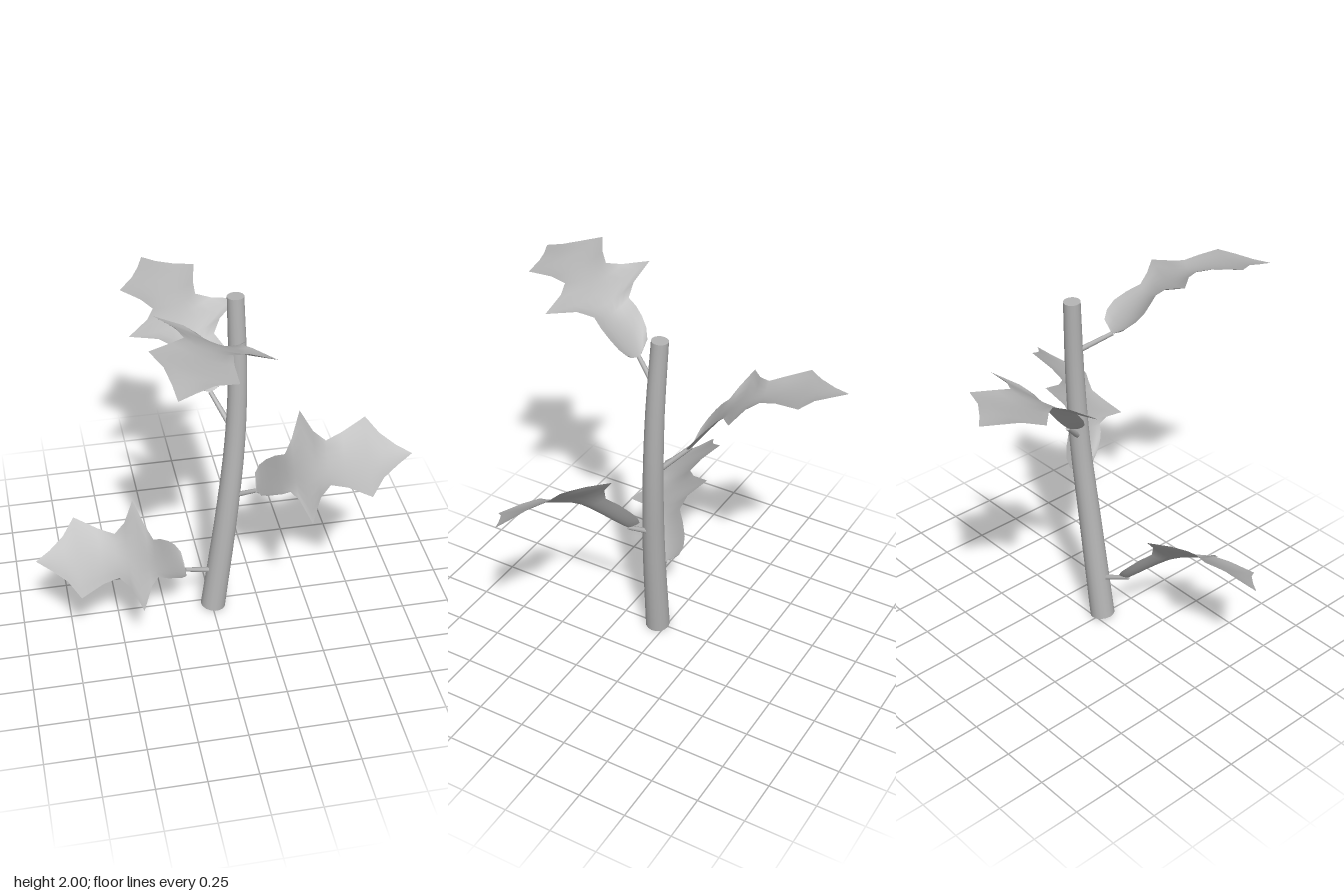
import * as THREE from 'three';

const V = (a) => new THREE.Vector3(...a);
const UP = new THREE.Vector3(0, 1, 0);

// Tapered round stalk bent along a smooth path
function stalk(points, r0, r1, sides, rings, material, name) {
  const curve = new THREE.CatmullRomCurve3(points.map(V));
  const geo = new THREE.CylinderGeometry(r1, r0, 1, sides, rings);
  const pos = geo.attributes.position, nor = geo.attributes.normal;
  const p = new THREE.Vector3(), n = new THREE.Vector3(), q = new THREE.Quaternion();
  for (let i = 0; i < pos.count; i++) {
    p.fromBufferAttribute(pos, i);
    n.fromBufferAttribute(nor, i);
    const t = THREE.MathUtils.clamp(p.y + 0.5, 0, 1);
    q.setFromUnitVectors(UP, curve.getTangentAt(t));
    p.y = 0;
    p.applyQuaternion(q).add(curve.getPointAt(t));
    n.applyQuaternion(q);
    pos.setXYZ(i, p.x, p.y, p.z);
    nor.setXYZ(i, n.x, n.y, n.z);
  }
  const mesh = new THREE.Mesh(geo, material);
  mesh.name = name;
  return mesh;
}

// Leaf outline: [position along the midrib, share of the lobe half width]
const OUTLINE = [
  [0, 0.1], [0.012, 0.34], [0.05, 0.46], [0.1, 0.5], [0.16, 0.46], [0.22, 0.38], [0.27, 0.56],
  [1 / 3, 1], [0.395, 0.62], [0.455, 0.44], [0.54, 0.6], [2 / 3, 1], [0.76, 0.56], [0.88, 0.25], [1, 0],
];
const COLUMNS = 8;
const CUP = 0.055; // how far the edges rise above the midrib at the base

// Lobed, cupped blade spanned between its base, two pairs of lobe tips and its point
function blade({ base, baseSide, lobes, tip }, material) {
  const [l1, r1, l2, r2] = lobes.map(V);
  const cupAt = (u) => CUP * (1 - u);
  const mid = (a, b, u) => a.clone().add(b).multiplyScalar(0.5).addScaledVector(UP, -cupAt(u));
  const half = (a, b) => b.clone().sub(a).multiplyScalar(0.5);
  const rib = new THREE.CatmullRomCurve3([V(base), mid(l1, r1, 1 / 3), mid(l2, r2, 2 / 3), V(tip)]);
  const s0 = V(baseSide).multiplyScalar(2), s1 = half(l1, r1), s2 = half(l2, r2);
  const verts = [], index = [];
  OUTLINE.forEach(([u, w], row) => {
    const side = s0.clone()
      .lerp(s1, THREE.MathUtils.smoothstep(u, 0.06, 0.31))
      .lerp(s2, THREE.MathUtils.clamp(u * 3 - 1, 0, 1))
      .multiplyScalar(w);
    const centre = rib.getPoint(u), rise = cupAt(u) * Math.min(1, 2 * w);
    for (let c = 0; c <= COLUMNS; c++) {
      const k = (2 * c) / COLUMNS - 1;
      verts.push(...centre.clone().addScaledVector(side, k).addScaledVector(UP, rise * k * k).toArray());
      if (row && c) {
        const d = row * (COLUMNS + 1) + c, b = d - COLUMNS - 1;
        index.push(b - 1, b, d, b - 1, d, d - 1);
      }
    }
  });
  const geo = new THREE.BufferGeometry();
  geo.setAttribute('position', new THREE.Float32BufferAttribute(verts, 3));
  geo.setIndex(index);
  geo.computeVertexNormals();
  const mesh = new THREE.Mesh(geo, material);
  mesh.name = 'leafBlade';
  return mesh;
}

// Each leaf: petiole root on the stem, blade base and its half width to the right,
// lobe tips (left, right, left, right), point
const LEAVES = [
  { name: 'lowRightLeaf', root: [0.02, 0.24, 0.04], base: [-0.15, 0.31, 0.09], baseSide: [0, 0.02, -0.12],
    lobes: [[-0.42, 0.41, 0.47], [-0.4, 0.72, -0.02], [-0.72, 0.5, 0.42], [-0.71, 0.73, 0.07]], tip: [-0.92, 0.6, 0.22] },
  { name: 'middleLeftLeaf', root: [0.1, 0.7, 0.01], base: [0.22, 0.78, 0.09], baseSide: [0, -0.02, 0.115],
    lobes: [[0.44, 1.21, 0.04], [0.4, 0.89, 0.53], [0.73, 1.24, 0.19], [0.69, 1.01, 0.53]], tip: [0.92, 1.13, 0.38] },
  { name: 'backLeaf', root: [0.12, 1.09, -0.01], base: [0.03, 1.24, -0.16], baseSide: [0.14, 0, -0.02],
    lobes: [[-0.35, 1.52, -0.3], [0.23, 1.58, -0.46], [-0.35, 1.61, -0.6], [0.05, 1.65, -0.72]], tip: [-0.2, 1.64, -0.86] },
  { name: 'topFrontLeaf', root: [0.13, 1.57, -0.03], base: [0.03, 1.66, 0.13], baseSide: [-0.12, 0.01, -0.01],
    lobes: [[0.2, 1.86, 0.54], [-0.31, 1.98, 0.27], [-0.02, 1.92, 0.78], [-0.38, 2.0, 0.58]], tip: [-0.3, 1.92, 0.86] },
];

export function createModel() {
  const grey = new THREE.MeshStandardMaterial({ color: 0xb4b4b4 });
  grey.name = 'plantGrey';
  grey.side = THREE.DoubleSide;

  const plant = new THREE.Group();
  plant.name = 'plant';

  // Main stem
  const path = [[0.005, 0.01, 0.047], [0.08, 0.6, 0.025], [0.125, 1.05, 0], [0.138, 1.45, -0.02], [0.128, 1.85, -0.043]];
  plant.add(stalk(path, 0.065, 0.042, 16, 14, grey, 'stem'));

  // Leaves on short petioles
  for (const leaf of LEAVES) {
    const group = new THREE.Group();
    group.name = leaf.name;
    group.add(stalk([leaf.root, leaf.base], 0.015, 0.011, 8, 1, grey, 'petiole'), blade(leaf, grey));
    plant.add(group);
  }
  return plant;
}
